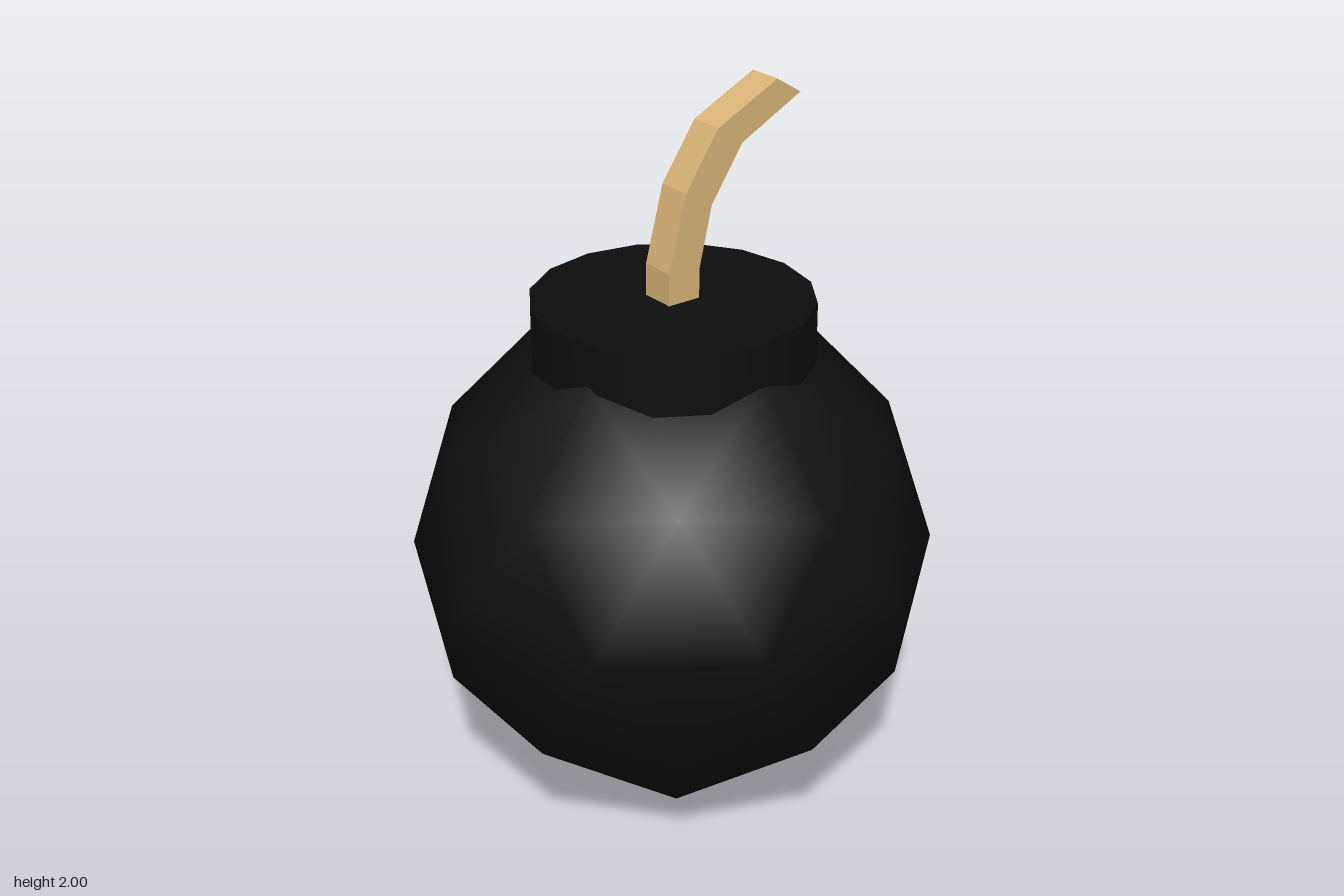
import * as THREE from 'three';

const R = 0.72;

export function createModel() {
  const model = new THREE.Group();
  const black = new THREE.MeshStandardMaterial({ color: 0x0d0d0d });
  const tan = new THREE.MeshStandardMaterial({ color: 0xd9b477, flatShading: true });

  const add = (name, geometry, material) => {
    const mesh = new THREE.Mesh(geometry, material);
    mesh.name = name;
    model.add(mesh);
    return mesh;
  };

  // Round body: smooth icosphere turned so that one corner points straight up
  const ball = new THREE.IcosahedronGeometry(R, 1);
  ball.rotateZ(-Math.atan(2 / (1 + Math.sqrt(5))));
  ball.translate(0, R, 0);
  add('body', ball, black);

  // Neck collar, sunk into the body
  const collar = new THREE.CylinderGeometry(0.385, 0.385, 0.25, 16);
  collar.translate(0, 1.325, 0);
  add('collar', collar, black);

  // Square fuse bending backwards: side outline as [distance back, height]
  const outline = [
    [0.05, 1.4], [0.05, 1.53], [0.09, 1.7], [0.19, 1.85], [0.385, 1.95],
    [0.305, 2], [0.11, 1.905], [0.005, 1.75], [-0.05, 1.54], [-0.05, 1.4],
  ].map(([s, y]) => new THREE.Vector2(s, y));
  const fuse = new THREE.ExtrudeGeometry(new THREE.Shape(outline), { depth: 0.1, bevelEnabled: false });
  fuse.translate(0, 0, -0.05);
  fuse.rotateY(Math.PI / 2);
  add('fuse', fuse, tan);

  return model;
}
